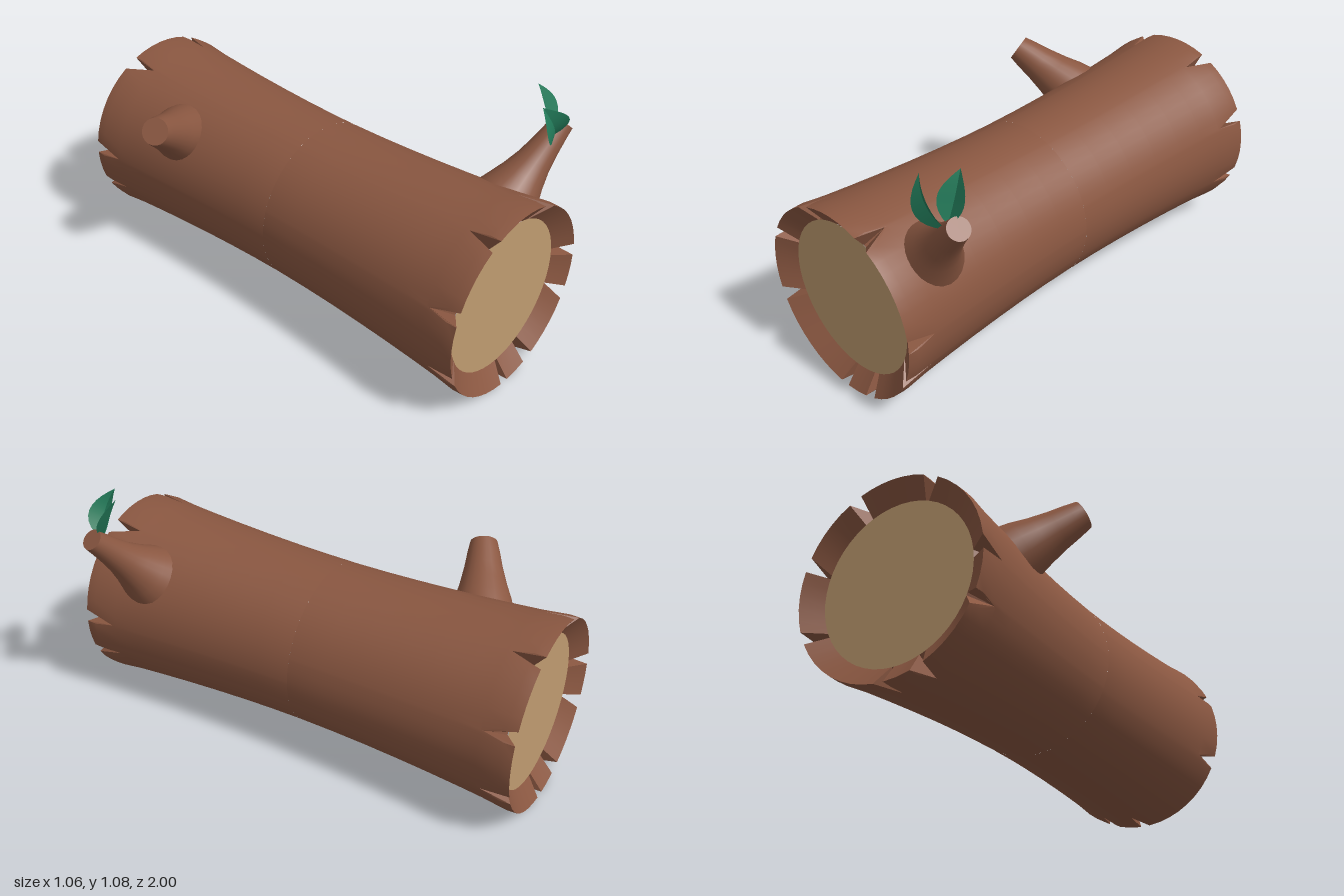
import * as THREE from 'three';
import { toCreasedNormals } from 'three/addons/utils/BufferGeometryUtils.js';

const V = (x, y, z) => new THREE.Vector3(x, y, z);
const AXIS_Y = 0.406;

// Grid of points (rows of columns) to a creased surface
function gridGeometry(columns, closed, crease) {
  const n = columns.length, m = columns[0].length, index = [];
  for (let i = 0; i < (closed ? n : n - 1); i++) {
    for (let j = 0; j < m - 1; j++) {
      const a = i * m + j, b = ((i + 1) % n) * m + j;
      index.push(a, b, b + 1, a, b + 1, a + 1);
    }
  }
  const g = new THREE.BufferGeometry().setFromPoints(columns.flat());
  g.setIndex(index);
  return toCreasedNormals(g, crease);
}

// Splits in the bark rim, in degrees: start, deepest point, end
const SPLITS = [
  [-95, -91, -89], [-73, -70, -65], [-29, -23, -21], [0, 2, 8],
  [60, 68, 70], [111, 113, 119], [154, 160, 162], [198, 203, 206],
];

const barkRadius = (z) => 0.353 + 0.052 * Math.pow(z, 1.8);

// Half of the trunk, from the middle to one jagged, hollowed end
function halfTrunkGeometry() {
  const columns = [];
  const addColumn = (degrees, split) => {
    const a = THREE.MathUtils.degToRad(degrees);
    const at = (r, z) => V(r * Math.cos(a), r * Math.sin(a), z);
    const outer = [0, 0.15, 0.3, 0.45, 0.6, 0.74, 0.855].map((z) => at(barkRadius(z), z));
    const lip = split
      ? [at(barkRadius(0.862), 0.862), at(barkRadius(0.87), 0.87)]
      : [at(0.404, 0.955), at(0.402, 1)];
    columns.push([...outer, ...lip, at(0.322, 0.94)]);
  };
  SPLITS.forEach(([lo, tip, hi], k) => {
    addColumn(lo, false);
    addColumn(tip, true);
    addColumn(hi, false);
    const next = k + 1 < SPLITS.length ? SPLITS[k + 1][0] : SPLITS[0][0] + 360;
    const steps = Math.max(2, Math.round((next - hi) / 7));
    for (let s = 1; s < steps; s++) addColumn(hi + ((next - hi) * s) / steps, false);
  });
  return gridGeometry(columns, true, 0.6);
}

// Flared stub: profile is [radius, distance from the tip]
function branch(name, root, tip, profile, material) {
  const points = profile.map(([r, d]) => new THREE.Vector2(r, -d));
  points.push(new THREE.Vector2(0, 0));
  const mesh = new THREE.Mesh(toCreasedNormals(new THREE.LatheGeometry(points, 24), 0.6), material);
  mesh.name = name;
  mesh.position.copy(tip);
  mesh.quaternion.setFromUnitVectors(V(0, 1, 0), tip.clone().sub(root).normalize());
  return mesh;
}

// Pointed leaf folded along its bent midrib
function leaf(name, base, bend, tip, across, halfWidth, fold, material) {
  const curve = new THREE.QuadraticBezierCurve3(base, bend, tip);
  const side = across.clone().normalize();
  const columns = [[], [], []];
  for (let i = 0; i <= 10; i++) {
    const t = i / 10, p = curve.getPoint(t);
    const w = halfWidth * Math.sin(Math.PI * Math.pow(t, 0.85));
    const normal = side.clone().cross(curve.getTangent(t)).normalize();
    [-1, 0, 1].forEach((s, c) => {
      const lift = (s === 0 ? -fold : fold) * (w / halfWidth);
      columns[c].push(p.clone().addScaledVector(side, s * w).addScaledVector(normal, lift));
    });
  }
  const mesh = new THREE.Mesh(gridGeometry(columns, false, 0.4), material);
  mesh.name = name;
  return mesh;
}

export function createModel() {
  const bark = new THREE.MeshStandardMaterial({ color: 0x8a5741 });
  bark.name = 'bark brown';
  const wood = new THREE.MeshStandardMaterial({ color: 0xbf9b70 });
  wood.name = 'cut wood tan';
  const green = new THREE.MeshStandardMaterial({ color: 0x227a59 });
  green.name = 'leaf green';
  green.side = THREE.DoubleSide;

  const log = new THREE.Group();
  log.name = 'log';

  // Two identical trunk halves, turned back to back
  const halfGeometry = halfTrunkGeometry();
  const faceGeometry = new THREE.CircleGeometry(0.326, 48);
  ['front', 'back'].forEach((end, i) => {
    const half = new THREE.Group();
    half.name = end + 'Half';
    half.position.y = AXIS_Y;
    half.rotation.y = i * Math.PI;
    const shell = new THREE.Mesh(halfGeometry, bark);
    shell.name = end + 'Bark';
    const face = new THREE.Mesh(faceGeometry, wood);
    face.name = end + 'CutFace';
    face.position.z = 0.944;
    half.add(shell, face);
    log.add(half);
  });

  // Branch stubs
  log.add(branch('rightBranch', V(-0.31, 0.655, -0.55), V(-0.495, 0.785, -0.46),
    [[0.135, 0.36], [0.118, 0.27], [0.098, 0.2], [0.08, 0.12], [0.068, 0.05], [0.057, 0]], bark));
  log.add(branch('leftBranch', V(0.285, 0.68, 0.765), V(0.497, 0.915, 0.825),
    [[0.145, 0.4], [0.118, 0.33], [0.092, 0.26], [0.072, 0.19], [0.058, 0.11], [0.049, 0.04], [0.045, 0]], bark));

  // Leaves near the tip of the left branch
  const leaves = new THREE.Group();
  leaves.name = 'leaves';
  leaves.add(leaf('frontLeaf', V(0.435, 0.885, 0.83), V(0.365, 0.955, 0.91), V(0.315, 1.062, 0.835),
    V(0.8, 0.55, 0.1), 0.064, 0.012, green));
  leaves.add(leaf('backLeaf', V(0.435, 0.9, 0.82), V(0.44, 1.0, 0.8), V(0.422, 1.086, 0.74),
    V(1, 0, -0.25), 0.056, 0.012, green));
  log.add(leaves);

  return log;
}
